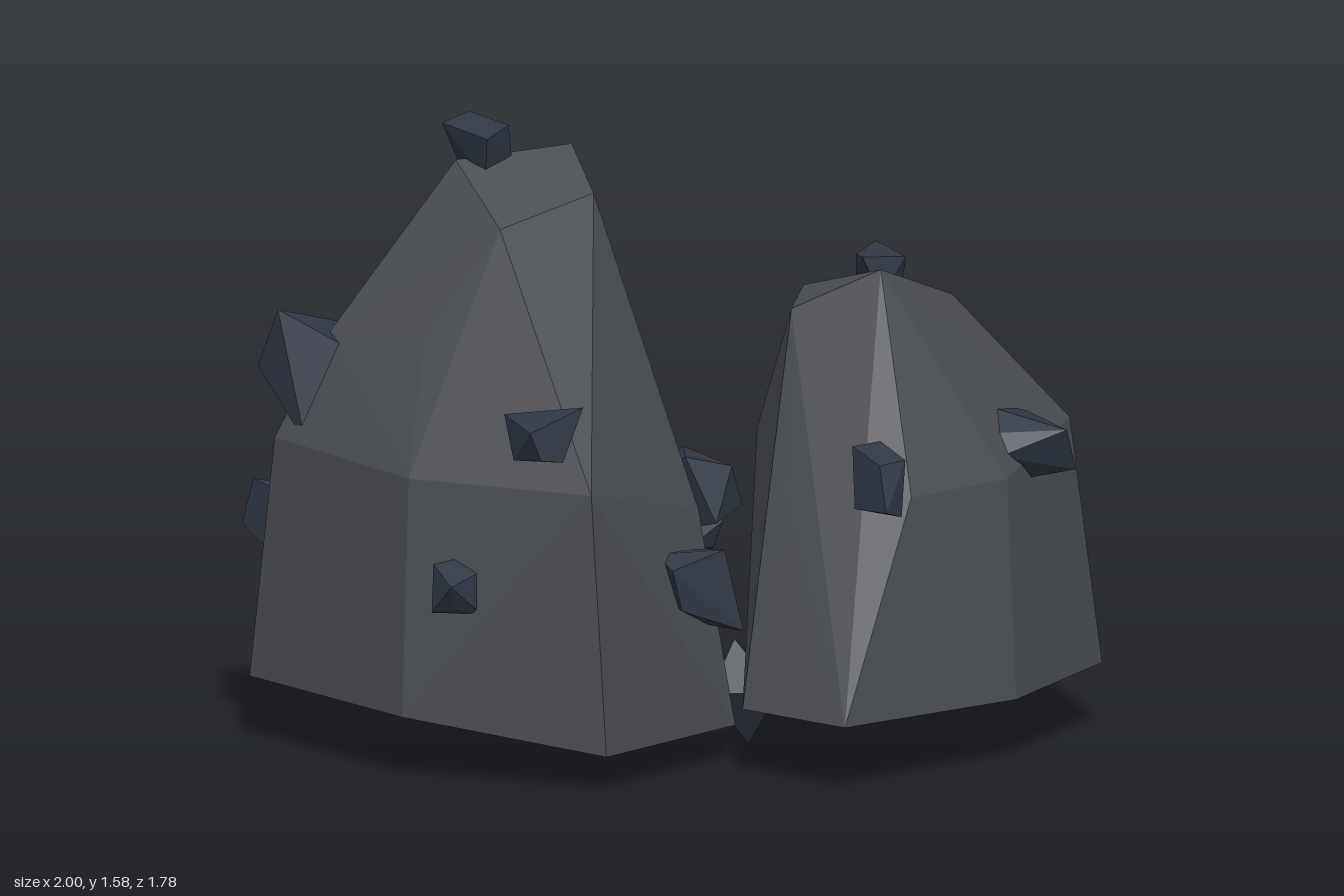
import * as THREE from 'three';
import { ConvexGeometry } from 'three/addons/geometries/ConvexGeometry.js';

const rockMaterial = new THREE.MeshStandardMaterial({ color: 0x4c4f54, flatShading: true });
const shardMaterial = new THREE.MeshStandardMaterial({ color: 0x303846, flatShading: true });

// Small seeded generator for the irregular shards
let seed = 11;
const rand = () => (seed = (seed * 16807) % 2147483647) / 2147483647;

// Faceted solid around a list of corner points
function hull(name, corners, material) {
  const points = corners.map((p) => new THREE.Vector3(...p));
  const mesh = new THREE.Mesh(new ConvexGeometry(points), material);
  mesh.name = name;
  return mesh;
}

// Irregular chip: a cube with its corners pulled in, stretched to fill a box
function shard(name, centre, size) {
  const pull = () => 0.2 + 0.8 * rand();
  const points = [];
  for (const x of [-1, 1]) {
    for (const y of [-1, 1]) {
      for (const z of [-1, 1]) points.push(new THREE.Vector3(x * pull(), y * pull(), z * pull()));
    }
  }
  const box = new THREE.Box3().setFromPoints(points);
  const mid = box.getCenter(new THREE.Vector3());
  const extent = box.getSize(new THREE.Vector3());
  points.forEach((p) => p.sub(mid).divide(extent)
    .multiply(new THREE.Vector3(...size)).add(new THREE.Vector3(...centre)));
  return hull(name, points, shardMaterial);
}

export function createModel() {
  const model = new THREE.Group();
  model.name = 'rockPair';

  // Tall boulder: base, waist, shoulder and crown
  model.add(hull('tallRock', [
    [[-1, 0.16, -0.6], [-0.61, 0.15, -0.89], [-0.1, 0.19, -0.83], [0.22, 0.1, -0.39],
      [-0.15, 0.09, 0.35], [-0.67, 0.09, 0.53], [-1, 0.16, 0.09]],
    [[-0.96, 0.77, 0.06], [-0.95, 0.78, -0.56], [-0.6, 0.82, -0.76], [-0.13, 0.82, -0.74],
      [0.05, 0.82, -0.57], [0.06, 0.82, -0.38], [-0.14, 0.62, 0.17], [-0.71, 0.77, 0.52]],
    [[-0.83, 1.04, -0.5], [-0.8, 1.1, -0.1], [-0.06, 1.05, -0.59]],
    [[-0.63, 1.37, -0.01], [-0.3, 1.42, -0.07], [-0.17, 1.49, -0.36], [-0.48, 1.47, -0.43]],
  ].flat(), rockMaterial));

  // Low boulder: base, waist and crown
  model.add(hull('lowRock', [
    [[-0.25, 0.17, 0.53], [-0.18, 0.17, 0.89], [0.43, 0.16, 0.77], [0.9, 0.16, 0.47],
      [0.87, 0.18, -0.06], [0.68, 0.2, -0.25], [0.3, 0.2, -0.25]],
    [[-0.09, 0.7, 0.48], [0.1, 0.72, 0.78], [0.45, 0.72, 0.7], [0.91, 0.77, 0.31],
      [0.86, 0.7, -0.05], [0.68, 0.7, -0.28], [0.32, 0.72, -0.24]],
    [[0.03, 1.15, 0.34], [0.19, 1.26, 0.51], [0.54, 1.13, 0.32], [0.3, 1.13, 0]],
  ].flat(), rockMaterial));

  // Pointed spikes on the side and under the edge of the tall boulder
  model.add(hull('sideSpike', [
    [-0.94, 1.11, -0.56], [-0.93, 0.78, -0.45], [-0.94, 0.95, -0.65],
    [-0.68, 1.04, -0.58], [-0.82, 1.02, -0.42], [-0.84, 0.8, -0.58],
  ], shardMaterial));
  model.add(hull('lowerSpike', [
    [0, 0, 0.19], [-0.14, 0.15, 0.22], [0.01, 0.16, 0.1], [0.01, 0.15, 0.31], [-0.05, 0.28, 0.2],
  ], shardMaterial));

  // Shards: [centre, size]
  const tallShards = [
    [[-0.41, 1.5, -0.41], [0.14, 0.15, 0.19]],
    [[-0.74, 0.91, 0.33], [0.17, 0.14, 0.2]],
    [[-0.91, 0.51, 0.22], [0.13, 0.14, 0.09]],
    [[-0.27, 0.45, 0.34], [0.21, 0.21, 0.14]],
    [[-0.86, 0.56, -0.68], [0.12, 0.16, 0.15]],
    [[0.04, 0.45, -0.7], [0.15, 0.17, 0.14]],
    [[-0.16, 0.92, -0.77], [0.18, 0.18, 0.16]],
    [[0.03, 0.5, -0.12], [0.15, 0.2, 0.2]],
    [[-0.07, 0.64, 0.04], [0.18, 0.22, 0.28]],
  ];
  const lowShards = [
    [[0.01, 0.77, 0.75], [0.09, 0.18, 0.16]],
    [[0.59, 0.78, 0.56], [0.24, 0.22, 0.22]],
    [[0.36, 1.2, 0.245], [0.16, 0.12, 0.15]],
    [[0.94, 0.46, 0.19], [0.12, 0.1, 0.09]],
    [[0.67, 0.78, -0.22], [0.11, 0.19, 0.14]],
  ];
  for (const [name, list] of [['tallRockShard', tallShards], ['lowRockShard', lowShards]]) {
    list.forEach(([centre, size], i) => model.add(shard(name + (i + 1), centre, size)));
  }
  return model;
}
